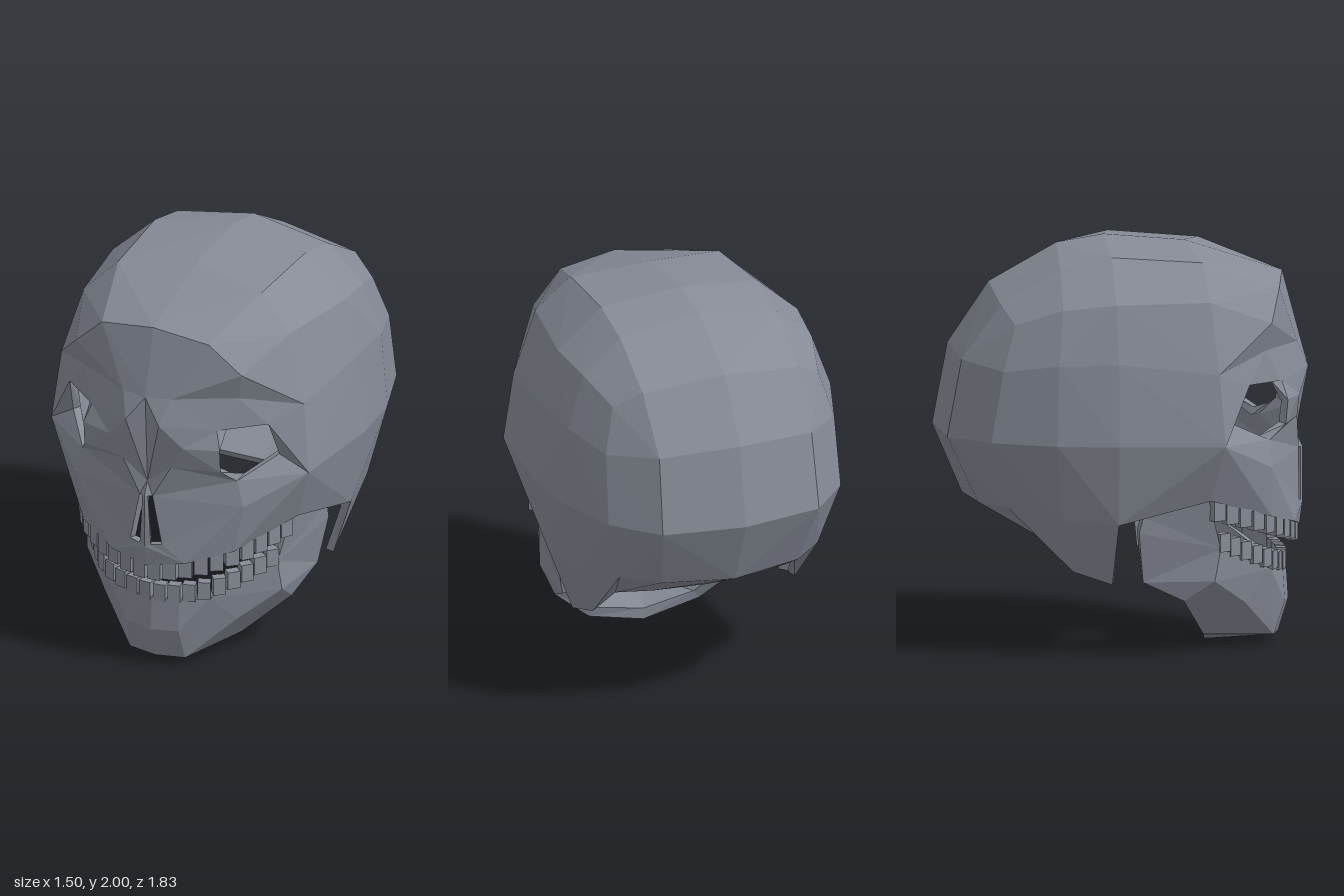
import * as THREE from 'three';

const material = new THREE.MeshStandardMaterial({ color: 0x868b96, flatShading: true, side: THREE.DoubleSide });

// Cuts a polygon into triangles; a quad is cut along its outward-bulging diagonal
function triangulate(poly) {
  if (poly.length === 4) {
    const [a, b, c, d] = poly.map(p => new THREE.Vector3(...p));
    const n = b.clone().sub(a).cross(c.clone().sub(a));
    if (n.dot(d.sub(a)) > 0) poly = [...poly.slice(1), poly[0]];
  }
  return poly.slice(2).map((p, i) => [poly[0], poly[i + 1], p]);
}

// Mirrors the polygons of the +x half, welds them and gives the shell a thickness with closed rims
function shell(name, halfPolygons, thickness) {
  const points = [], ids = new Map(), tris = [];
  const id = p => {
    const key = p.map(v => Math.round(v * 1e4) + 0).join();
    if (!ids.has(key)) { ids.set(key, points.length); points.push(new THREE.Vector3(...p)); }
    return ids.get(key);
  };
  for (const tri of halfPolygons.flatMap(triangulate)) {
    tris.push(tri.map(id), tri.map(([x, y, z]) => [-x, y, z]).reverse().map(id));
  }
  const normals = points.map(() => new THREE.Vector3());
  const edges = new Set();
  for (const [a, b, c] of tris) {
    const n = points[b].clone().sub(points[a]).cross(points[c].clone().sub(points[a])).normalize();
    for (const v of [a, b, c]) normals[v].add(n);
    edges.add(a + '_' + b).add(b + '_' + c).add(c + '_' + a);
  }
  const count = points.length;
  const inner = points.map((p, i) => p.clone().addScaledVector(normals[i].normalize(), -thickness));
  const index = [];
  for (const [a, b, c] of tris) index.push(a, b, c, c + count, b + count, a + count);
  for (const edge of edges) {
    const [a, b] = edge.split('_').map(Number);
    if (!edges.has(b + '_' + a)) index.push(b, a, a + count, b, a + count, b + count);
  }
  const geometry = new THREE.BufferGeometry().setFromPoints([...points, ...inner]);
  geometry.setIndex(index);
  const flat = geometry.toNonIndexed();
  flat.computeVertexNormals();
  const mesh = new THREE.Mesh(flat, material);
  mesh.name = name;
  return mesh;
}

// Quads between neighbouring rows of points
function strips(rows) {
  const quads = [];
  for (let r = 0; r < rows.length - 1; r++) {
    const n = Math.min(rows[r].length, rows[r + 1].length);
    for (let k = 0; k < n - 1; k++) quads.push([rows[r][k], rows[r][k + 1], rows[r + 1][k + 1], rows[r + 1][k]]);
  }
  return quads;
}

function cranium() {
  // Arches from the crown down the side, front to back
  const arches = [
    [[0, 1.97, .31], [.39, 1.92, .39], [.56, 1.75, .43], [.66, 1.41, .47], [.70, 1.06, .5], [.61, .78, .43]],
    [[0, 2, -.08], [.41, 1.95, -.05], [.63, 1.75, -.03], [.71, 1.47, -.02], [.75, 1.07, -.02], [.67, .67, -.02]],
    [[0, 1.96, -.31], [.41, 1.89, -.3], [.6, 1.72, -.29], [.69, 1.46, -.31], [.72, 1.07, -.32], [.62, .69, -.3]],
    [[0, 1.77, -.64], [.41, 1.72, -.59], [.54, 1.64, -.52], [.60, 1.42, -.58], [.61, 1.07, -.64], [.52, .74, -.56]],
  ];
  const [s0, s1, s2, s3] = arches;
  const [, , C0, D0, E0, F0] = s0;
  const underRim = [[0, .55, -.42], [.28, .56, -.41], [.47, .57, -.38]];
  const back = [
    s3.slice(0, 3),
    [[0, 1.47, -.84], [.4, 1.45, -.78], s3[3]],
    [[0, 1.07, -.915], [.41, 1.07, -.85], s3[4]],
    [[0, .73, -.77], [.36, .74, -.7], s3[5]],
    underRim,
  ];
  // Forehead and brow
  const a = [0, 1.82, .79], b = [.29, 1.78, .77], t = [.45, 1.63, .73];
  const g = [0, 1.48, .88], m = [.13, 1.49, .86], i = [.09, 1.36, .915], u = [.42, 1.49, .7];
  // Eye socket: outer rim and recessed rim
  const rim = [[.54, 1.34, .62], [.34, 1.33, .78], [.2, 1.24, .87], [.13, 1.12, .86], [.42, 1.05, .72], [.56, 1.15, .54]];
  const recess = [[.53, 1.33, .56], [.37, 1.33, .73], [.37, 1.24, .81], [.37, 1.12, .8], [.43, 1.07, .66], [.54, 1.15, .5]];
  const [R1, R2, R3, R4, R5, R6] = rim;
  // Nose opening, cheek and upper jaw edge
  const nb = [0, 1.02, .855], c1 = [0, .95, .89], c2 = [0, .68, .89], n1 = [.015, .95, .88], n2 = [.03, .69, .88];
  const h1 = [.035, .95, .87], h2 = [.085, .7, .87], cheek = [.46, .92, .73];
  const M0 = [0, .57, .875], M1 = [.2, .61, .85], M2 = [.41, .67, .73];
  // Bony points behind the jaw
  const W1 = [.56, .36, -.05], W2 = [.53, .42, -.24];

  return shell('cranium', [
    ...strips([[a, b, t], ...arches]),
    ...strips(back),
    [s1[5], W1, W2, s2[5]], [s2[5], W2, underRim[2], s3[5]],
    [a, g, m, b], [b, m, u, t], [t, u, D0, C0],
    [g, i, m], [g, nb, R3, i], [nb, R4, R3], [i, R3, R2],
    [m, i, R2], [m, R2, u], [u, R2, R1], [u, R1, D0],
    [R1, R6, E0, D0], [R6, R5, cheek, E0],
    ...rim.map((p, k) => [p, rim[(k + 1) % 6], recess[(k + 1) % 6], recess[k]]),
    [R4, nb, h1], [R4, h1, R5], [h1, h2, cheek, R5],
    [h2, M1, M2, cheek], [cheek, M2, F0, E0],
    [nb, n1, h1], [nb, c1, n1], [c1, c2, n2, n1], [M1, h2, n2, c2, M0],
  ], .04);
}

function jaw() {
  const t0 = [0, .37, .81], t1 = [.14, .37, .79], t2 = [.28, .39, .73], t3 = [.52, .53, .48];
  const m0 = [0, .2, .82], m1 = [.14, .21, .8], l0 = [0, .04, .77], l1 = [.15, .045, .745];
  const side = [.36, .24, .6], v0 = [0, 0, .41], v1 = [.29, .07, .4];
  const angle = [.51, .27, .3], k = [.53, .37, .45];
  const e1 = [.57, .78, .42], e2 = [.6, .7, .1], e3 = [.6, .62, .08], e4 = [.55, .37, .1];
  return shell('lowerJaw', [
    [t0, m0, m1, t1], [t1, m1, t2], [t2, m1, l1, side], [m0, l0, l1, m1],
    [l0, v0, v1, l1], [l1, v1, side], [side, v1, angle],
    [t2, side, k, t3], [side, angle, k], [k, angle, e4],
    [t3, k, e4, e3, e2, e1],
  ], .06);
}

// Teeth set along a mirrored curve of tooth centres
function teeth(name, half, count, height) {
  const group = new THREE.Group();
  group.name = name;
  const path = [...half.slice(1).reverse().map(([x, y, z]) => [-x, y, z]), ...half];
  const curve = new THREE.CatmullRomCurve3(path.map(p => new THREE.Vector3(...p)));
  const width = curve.getLength() / count * .86;
  for (let i = 0; i < count; i++) {
    const s = (i + .5) / count, dir = curve.getTangentAt(s);
    const tooth = new THREE.Mesh(new THREE.BoxGeometry(width, height, .05), material);
    tooth.name = 'tooth';
    tooth.position.copy(curve.getPointAt(s));
    tooth.rotation.y = Math.atan2(-dir.z, dir.x);
    group.add(tooth);
  }
  return group;
}

export function createModel() {
  const model = new THREE.Group();
  model.name = 'skull';
  model.add(
    cranium(),
    jaw(),
    teeth('upperTeeth', [[0, .545, .845], [.2, .58, .81], [.4, .645, .69], [.57, .735, .43]], 20, .1),
    teeth('lowerTeeth', [[0, .4, .785], [.14, .41, .765], [.3, .45, .7], [.51, .57, .46]], 18, .09),
  );
  return model;
}
